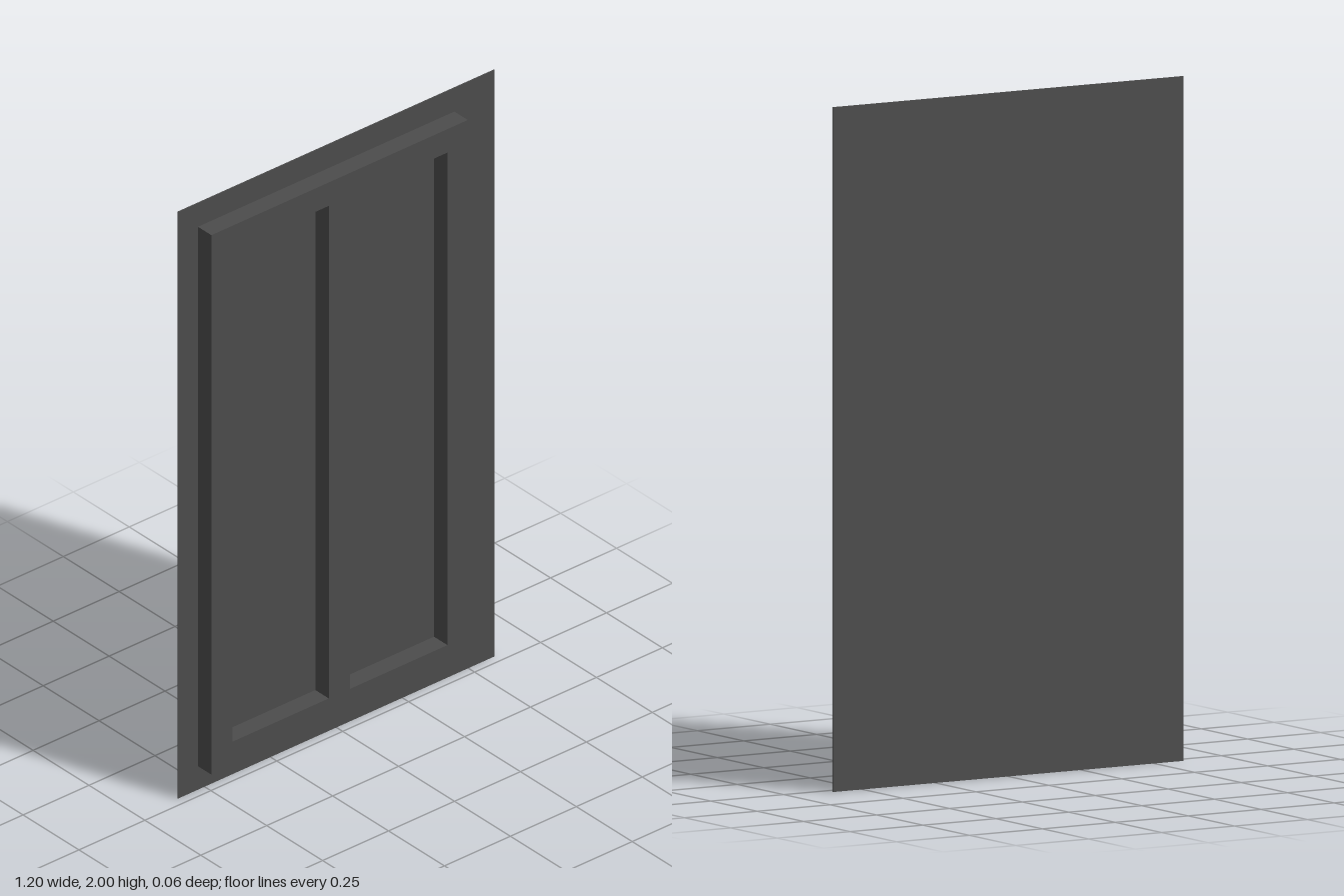
import * as THREE from 'three';

// Adds a rectangle outline to a Shape or Path
function rect(path, x0, y0, x1, y1) {
  path.moveTo(x0, y0);
  path.lineTo(x1, y0);
  path.lineTo(x1, y1);
  path.lineTo(x0, y1);
  path.closePath();
  return path;
}

export function createModel() {
  const group = new THREE.Group();
  group.name = 'windowPanel';
  const material = new THREE.MeshStandardMaterial({ color: 0x4c4c4c });

  const back = -0.032, front = 0.032, sheet = 0.004;

  // Thin backing sheet
  const panel = new THREE.Mesh(new THREE.BoxGeometry(1.2, 2, sheet), material);
  panel.name = 'backPanel';
  panel.position.set(0, 1, back + sheet / 2);
  group.add(panel);

  // Raised frame with two tall openings, set slightly to one side
  const outline = rect(new THREE.Shape(), -0.525, 0.08, 0.447, 1.92);
  for (const [x0, x1] of [[-0.445, -0.08], [0, 0.37]]) {
    outline.holes.push(rect(new THREE.Path(), x0, 0.16, x1, 1.84));
  }
  const frame = new THREE.Mesh(
    new THREE.ExtrudeGeometry(outline, { depth: front - back - sheet, bevelEnabled: false }),
    material
  );
  frame.name = 'raisedFrame';
  frame.position.z = back + sheet;
  group.add(frame);

  return group;
}
